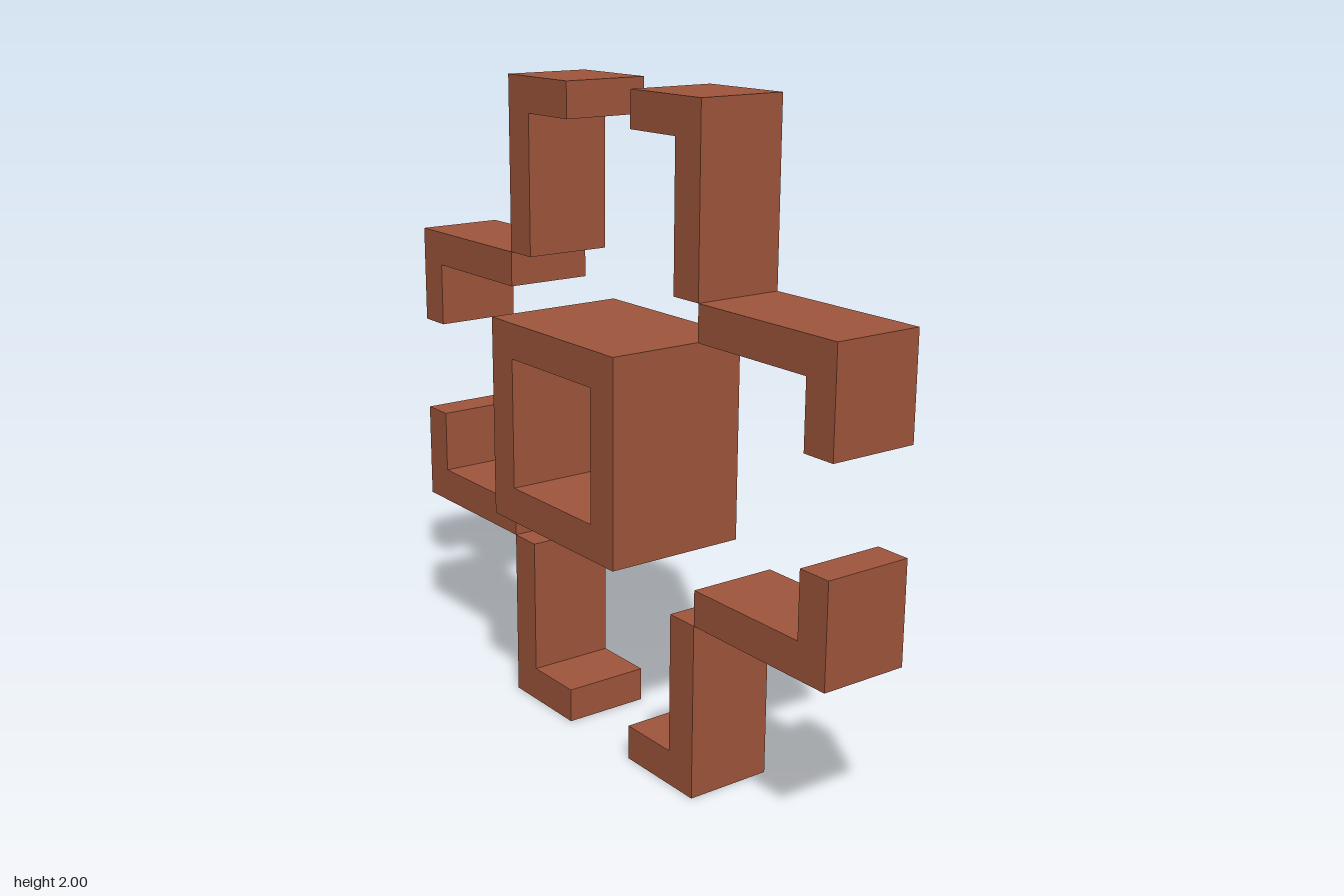
import * as THREE from 'three';

const material = new THREE.MeshStandardMaterial({ color: 0xa0563c, side: THREE.DoubleSide });
const T = 0.108;      // bar thickness
const BACK = -0.223;  // shared open back plane

// Hollow bar with an open back, spanning two opposite corners in x and y
function bar(name, x0, x1, y0, y1, front) {
  const geometry = new THREE.BoxGeometry(Math.abs(x1 - x0), Math.abs(y1 - y0), front - BACK);
  // the last six indices are the back face
  geometry.setIndex(Array.from(geometry.index.array).slice(0, 30));
  geometry.clearGroups();
  const mesh = new THREE.Mesh(geometry, material);
  mesh.name = name;
  mesh.position.set((x0 + x1) / 2, (y0 + y1) / 2, (front + BACK) / 2);
  return mesh;
}

// Square frame in the middle, standing forward of the hooks
function centerFrame() {
  const frame = new THREE.Group();
  frame.name = 'centerFrame';
  const r = 0.308, front = 0.223;
  for (const s of [1, -1]) {
    frame.add(
      bar(s > 0 ? 'frameTop' : 'frameBottom', -r, r, s * (r - T), s * r, front),
      bar(s > 0 ? 'frameLeft' : 'frameRight', s * (r - T), s * r, -r, r, front)
    );
  }
  return frame;
}

// Pair of hooks that meet along one edge at the inner corner of a quadrant
function cornerHooks(sx, sy) {
  const hooks = new THREE.Group();
  hooks.name = (sy > 0 ? 'upper' : 'lower') + (sx > 0 ? 'Left' : 'Right') + 'Hooks';
  const inner = 0.462, tip = 0.154, front = 0.054;
  const add = (name, x0, x1, y0, y1) =>
    hooks.add(bar(name, sx * x0, sx * x1, sy * y0, sy * y1, front));
  add('uprightArm', inner - T, inner, inner, 1);
  add('uprightTip', tip, inner, 1 - T, 1);
  add('sideArm', inner, 1, inner - T, inner);
  add('sideTip', 1 - T, 1, tip, inner);
  return hooks;
}

export function createModel() {
  const model = new THREE.Group();
  model.name = 'squareOrnament';
  const body = new THREE.Group();
  body.name = 'ornamentBody';
  body.position.y = 1;
  body.add(centerFrame());
  for (const sx of [1, -1]) for (const sy of [1, -1]) body.add(cornerHooks(sx, sy));
  model.add(body);
  return model;
}
